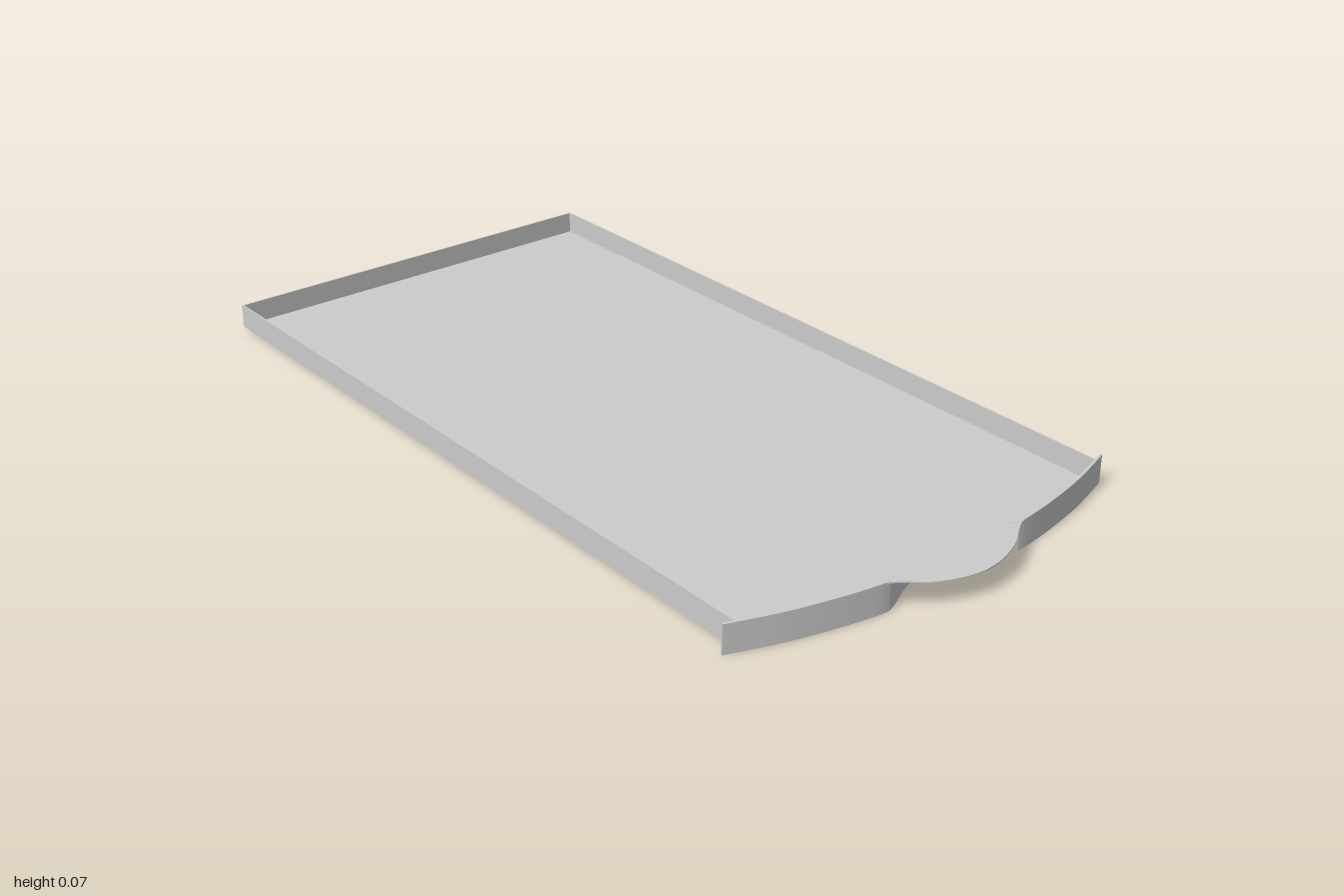
import * as THREE from 'three';

const material = new THREE.MeshStandardMaterial({ color: 0xcccccc, side: THREE.DoubleSide });
const THICK = 0.006, TOP = 0.067, BASE = 0.01;

// Half outlines in (x, z), from the centre outwards
const curve = (pts) => new THREE.SplineCurve(pts.map(([x, z]) => new THREE.Vector2(x, z)));
const scoop = curve([[0.857, 0], [0.862, 0.05], [0.88, 0.105], [0.906, 0.155], [0.916, 0.18]]);
const wing = curve([[0.916, 0.18], [0.914, 0.21], [0.9, 0.292], [0.873, 0.405], [0.833, 0.524]]);
const lip = curve([[0.997, 0], [0.99, 0.05], [0.968, 0.11], [0.935, 0.16], [0.922, 0.182], [0.917, 0.205]]);

// x of a half outline at a given |z|
function xAt(c, z) {
  let lo = 0, hi = 1;
  for (let i = 0; i < 30; i++) {
    const mid = (lo + hi) / 2;
    if (c.getPoint(mid).y < z) lo = mid; else hi = mid;
  }
  return c.getPoint(lo).x;
}

// Extrude an (x, z) outline from y0 to y1
function slab(points, y0, y1) {
  const geo = new THREE.ExtrudeGeometry(new THREE.Shape(points), { depth: y1 - y0, bevelEnabled: false });
  return geo.rotateX(Math.PI / 2).translate(0, y1, 0);
}

export function createModel() {
  const tray = new THREE.Group();
  tray.name = 'tray';
  const add = (name, geo) => {
    const mesh = new THREE.Mesh(geo, material);
    mesh.name = name;
    tray.add(mesh);
    return mesh;
  };

  // Full centreline of the front panel, mirrored across z = 0
  const half = [...scoop.getPoints(16), ...wing.getPoints(20).slice(1)];
  const path = [...half.slice(1).reverse().map((p) => new THREE.Vector2(p.x, -p.y)), ...half];

  // Front panel: thin bowed strip with an inward finger scoop
  const offset = (d) => path.map((p, i) => {
    const a = path[Math.max(i - 1, 0)], b = path[Math.min(i + 1, path.length - 1)];
    const t = b.clone().sub(a).normalize();
    return new THREE.Vector2(p.x + t.y * d, p.y - t.x * d);
  });
  add('frontPanel', slab([...offset(THICK / 2), ...offset(-THICK / 2).reverse()], 0, TOP));

  // Floor: follows the front panel
  const edge = path.filter((p) => Math.abs(p.y) < 0.499);
  const cornerX = xAt(wing, 0.5);
  add('floor', slab([
    new THREE.Vector2(-1, -0.5), new THREE.Vector2(cornerX, -0.5), ...edge,
    new THREE.Vector2(cornerX, 0.5), new THREE.Vector2(-1, 0.5),
  ], BASE, BASE + 0.004));

  // Side and end walls
  const wallH = TOP - BASE, wallY = (TOP + BASE) / 2, w = 0.004;
  for (const s of [1, -1]) {
    add(s > 0 ? 'frontSideWall' : 'backSideWall', new THREE.BoxGeometry(cornerX + 1, wallH, w))
      .position.set((cornerX - 1) / 2, wallY, s * (0.5 - w / 2));
  }
  add('endWall', new THREE.BoxGeometry(w, wallH, 1)).position.set(-1 + w / 2, wallY, 0);

  // Pull tab: lens-shaped plate over the scoop, dipping towards its outer lip
  const tab = new THREE.BoxGeometry(1, 1, 1, 10, 1, 40);
  const pos = tab.attributes.position;
  for (let i = 0; i < pos.count; i++) {
    const u = pos.getX(i) + 0.5, z = pos.getZ(i) * 0.4, az = Math.abs(z);
    const inner = az < 0.18 ? xAt(scoop, az) : xAt(wing, az);
    const x = THREE.MathUtils.lerp(inner, xAt(lip, az), u);
    const dip = 0.007 * THREE.MathUtils.smoothstep(x, 0.9, 1);
    pos.setXYZ(i, x, TOP - 0.0015 - dip + pos.getY(i) * 0.003, z);
  }
  tab.computeVertexNormals();
  add('pullTab', tab);

  return tray;
}
